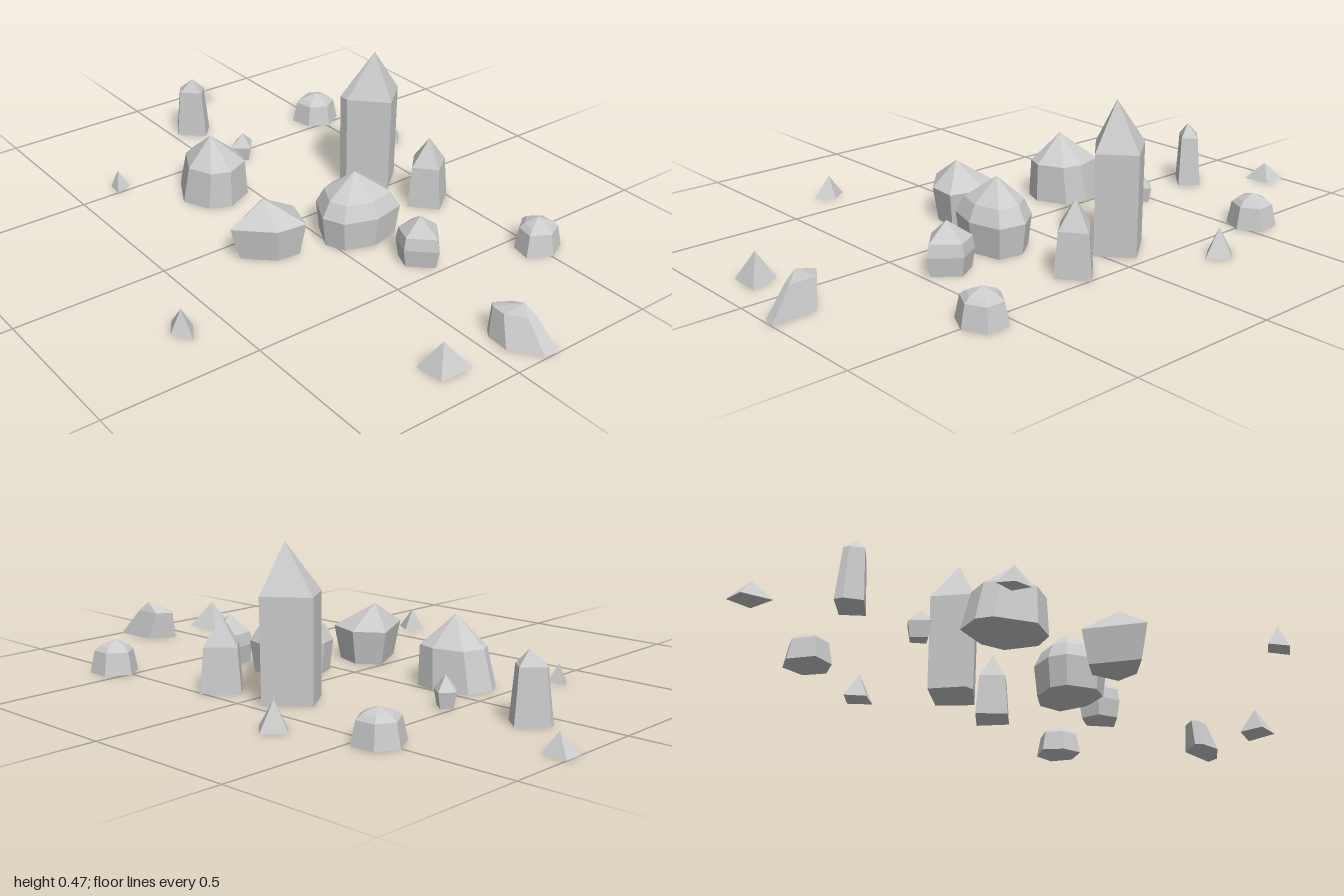
import * as THREE from 'three';
import { ConvexGeometry } from 'three/addons/geometries/ConvexGeometry.js';

const material = new THREE.MeshStandardMaterial({ color: 0xcccccc, flatShading: true });

// A faceted stone: footprint outline [x, z] at the ground (scaled by base),
// optional rings [y, scale, shiftX, shiftZ] of the same outline, and an apex [x, y, z].
function crystal(name, outline, { base = 1, rings = [], apex }) {
  const cx = outline.reduce((s, p) => s + p[0], 0) / outline.length;
  const cz = outline.reduce((s, p) => s + p[1], 0) / outline.length;
  const points = [new THREE.Vector3(...apex)];
  for (const [y, scale, dx = 0, dz = 0] of [[0, base], ...rings]) {
    for (const [x, z] of outline) {
      points.push(new THREE.Vector3(cx + (x - cx) * scale + dx, y, cz + (z - cz) * scale + dz));
    }
  }
  const mesh = new THREE.Mesh(new ConvexGeometry(points), material);
  mesh.name = name;
  return mesh;
}

export function createModel() {
  const group = new THREE.Group();
  group.name = 'crystalField';
  group.add(
    // Tall pointed pillars
    crystal('tallCrystal', [[-0.19, -0.375], [-0.065, -0.47], [0.02, -0.37], [-0.085, -0.27], [-0.12, -0.27]],
      { base: 0.97, rings: [[0.32, 1]], apex: [-0.07, 0.47, -0.37] }),
    crystal('slimCrystal', [[0.07, -0.42], [0.16, -0.505], [0.225, -0.415], [0.145, -0.345]],
      { rings: [[0.14, 0.82]], apex: [0.15, 0.23, -0.425] }),
    crystal('leftPillar', [[-0.805, -0.075], [-0.73, -0.145], [-0.675, -0.095], [-0.745, -0.02], [-0.795, -0.05]],
      { rings: [[0.165, 0.74, 0.005]], apex: [-0.73, 0.21, -0.08] }),

    // Large boulder-like crystals
    crystal('largeLeftCrystal', [[-0.46, 0.115], [-0.435, 0.03], [-0.32, 0], [-0.245, 0.02], [-0.2, 0.115],
      [-0.23, 0.185], [-0.32, 0.225], [-0.435, 0.165]],
      { rings: [[0.125, 0.86, 0.015]], apex: [-0.31, 0.217, 0.12] }),
    crystal('centreCrystal', [[0.055, -0.08], [0.085, -0.17], [0.165, -0.23], [0.255, -0.215], [0.28, -0.105],
      [0.245, 0], [0.175, 0.03], [0.075, -0.02]],
      { base: 0.9, rings: [[0.1, 1], [0.15, 0.78]], apex: [0.165, 0.22, -0.1] }),
    crystal('frontCrystal', [[-0.02, 0.125], [0.07, 0.065], [0.185, 0.1], [0.175, 0.2], [0.075, 0.305]],
      { base: 0.8, rings: [[0.11, 1]], apex: [0.085, 0.185, 0.19] }),
    crystal('rightCrystal', [[0.33, -0.195], [0.41, -0.24], [0.495, -0.17], [0.42, -0.09], [0.345, -0.12]],
      { base: 0.85, rings: [[0.06, 0.98], [0.1, 0.88]], apex: [0.41, 0.155, -0.16] }),

    // Low domed stones
    crystal('backLeftDome', [[-0.635, -0.505], [-0.6, -0.57], [-0.52, -0.575], [-0.48, -0.51], [-0.515, -0.44], [-0.59, -0.425]],
      { rings: [[0.07, 0.82], [0.085, 0.6]], apex: [-0.555, 0.103, -0.505] }),
    crystal('backRightDome', [[0.49, -0.505], [0.535, -0.575], [0.61, -0.575], [0.645, -0.505], [0.605, -0.43], [0.535, -0.445]],
      { rings: [[0.07, 0.82], [0.085, 0.6]], apex: [0.57, 0.105, -0.505] }),
    crystal('slopingStone', [[0.805, -0.07], [0.855, -0.15], [1, -0.155], [0.99, -0.11], [0.905, -0.045], [0.83, -0.05]],
      { rings: [[0.09, 0.62, -0.035]], apex: [0.895, 0.122, -0.115] }),
    crystal('smallStub', [[-0.505, -0.115], [-0.47, -0.155], [-0.42, -0.115], [-0.46, -0.06]],
      { base: 0.75, rings: [[0.05, 1]], apex: [-0.46, 0.095, -0.11] }),

    // Scattered pyramids
    crystal('backShard', [[-0.33, -0.61], [-0.27, -0.665], [-0.21, -0.61], [-0.275, -0.565]], { apex: [-0.27, 0.088, -0.61] }),
    crystal('farLeftShard', [[-1, -0.29], [-0.92, -0.29], [-0.91, -0.2], [-1, -0.225]], { apex: [-0.95, 0.06, -0.25] }),
    crystal('farRightShard', [[0.81, 0.12], [0.91, 0.085], [0.905, 0.195], [0.815, 0.205]], { apex: [0.86, 0.088, 0.15] }),
    crystal('frontLeftShard', [[-0.585, 0.32], [-0.52, 0.315], [-0.5, 0.37], [-0.555, 0.365]], { apex: [-0.54, 0.06, 0.345] }),
    crystal('frontShard', [[0.235, 0.62], [0.29, 0.582], [0.35, 0.62], [0.29, 0.658]], { apex: [0.29, 0.072, 0.62] }),
  );
  return group;
}
